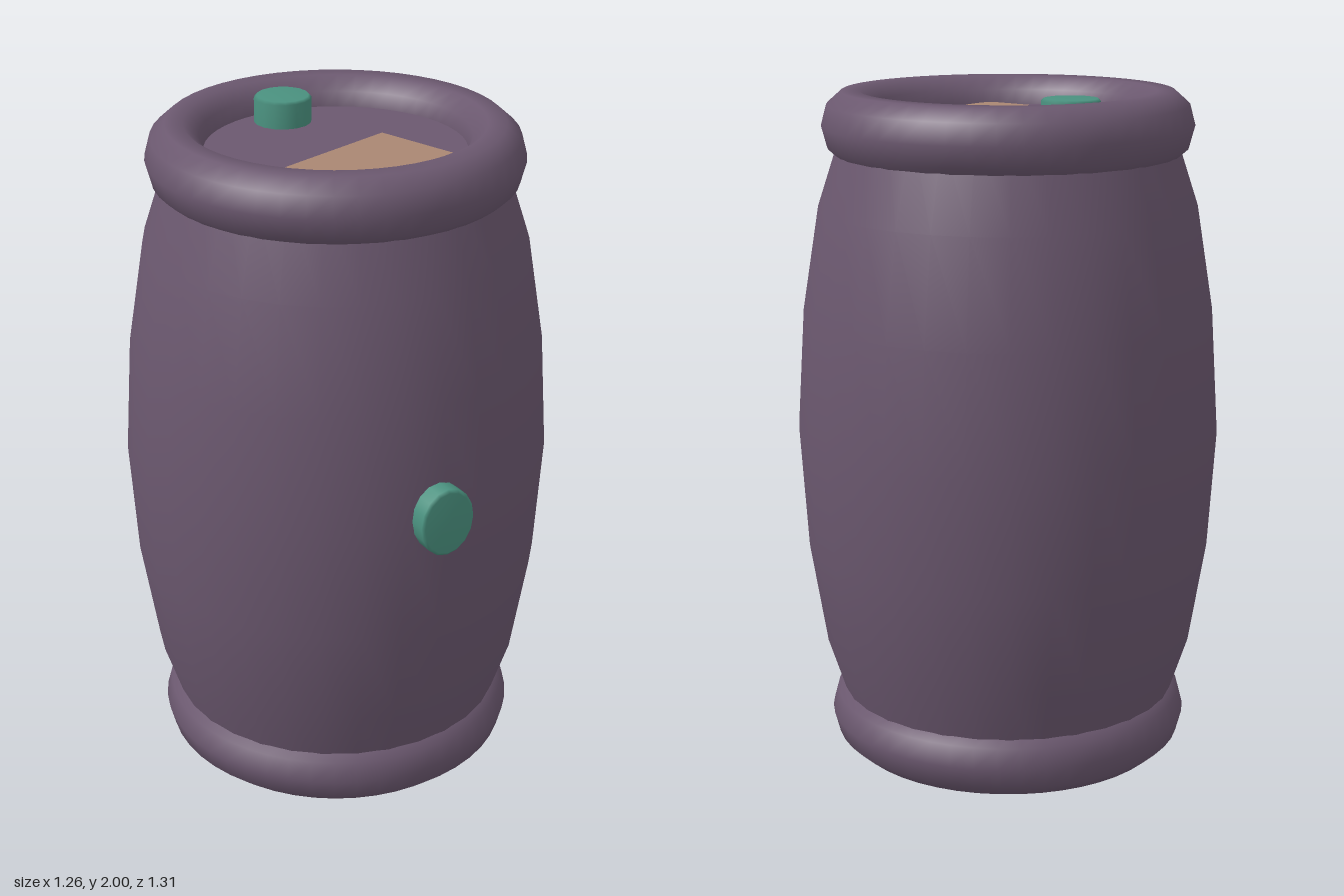
import * as THREE from 'three';

const CENTER_Z = -0.022;
const purple = new THREE.MeshStandardMaterial({ color: 0x6b586f });
const green = new THREE.MeshStandardMaterial({ color: 0x4a917f });
const tan = new THREE.MeshStandardMaterial({ color: 0xa98672 });

function add(parent, name, geometry, material) {
  const mesh = new THREE.Mesh(geometry, material);
  mesh.name = name;
  parent.add(mesh);
  return mesh;
}

// Short plug with a slightly bevelled top edge, standing on y = 0
function plugGeometry(radius, height) {
  const bevel = 0.008;
  const side = [[radius, 0], [radius, height - bevel], [radius - bevel, height], [0, height]];
  return new THREE.LatheGeometry(side.map(([r, y]) => new THREE.Vector2(r, y)), 16);
}

export function createModel() {
  const model = new THREE.Group();
  model.name = 'barrel';

  // Bulging wall
  const half = [[0.632, 0], [0.61, 0.35], [0.56, 0.66], [0.475, 0.92]];
  const lower = half.slice(1).reverse().map(([r, y]) => [r, -y]);
  const profile = [...lower, ...half].map(([r, y]) => new THREE.Vector2(r, 1 + y));
  add(model, 'wall', new THREE.LatheGeometry(profile, 32), purple).position.z = CENTER_Z;

  // Rolled rim and recessed end disc, top and bottom
  for (const [end, s] of [['top', 1], ['bottom', -1]]) {
    const rimGeometry = new THREE.TorusGeometry(0.459, 0.086, 10, 48)
      .rotateX(Math.PI / 2).scale(1, 1.22, 1);
    add(model, end + 'Rim', rimGeometry, purple).position.set(0, 1 + s * 0.9, CENTER_Z);

    const disc = add(model, end + 'Disc', new THREE.CircleGeometry(0.46, 32), purple);
    disc.rotation.x = -s * Math.PI / 2;
    disc.position.set(0, 1 + s * 0.918, CENTER_Z);
  }

  // Filler plug on the lid
  add(model, 'lidPlug', plugGeometry(0.085, 0.09), green).position.set(-0.018, 1.908, -0.308);

  // Oval plug in the front wall
  const frontPlug = add(model, 'frontPlug', plugGeometry(0.085, 0.1), green);
  frontPlug.rotation.x = Math.PI / 2;
  frontPlug.scale.z = 1.22;
  frontPlug.position.set(-0.02, 1.025, 0.555);

  // Tilted label on the lid
  const labelGeometry = new THREE.PlaneGeometry(0.452, 0.266).rotateX(-Math.PI / 2);
  const label = add(model, 'label', labelGeometry, tan);
  label.rotation.y = 0.32;
  label.position.set(0, 1.923, 0.142);

  return model;
}
